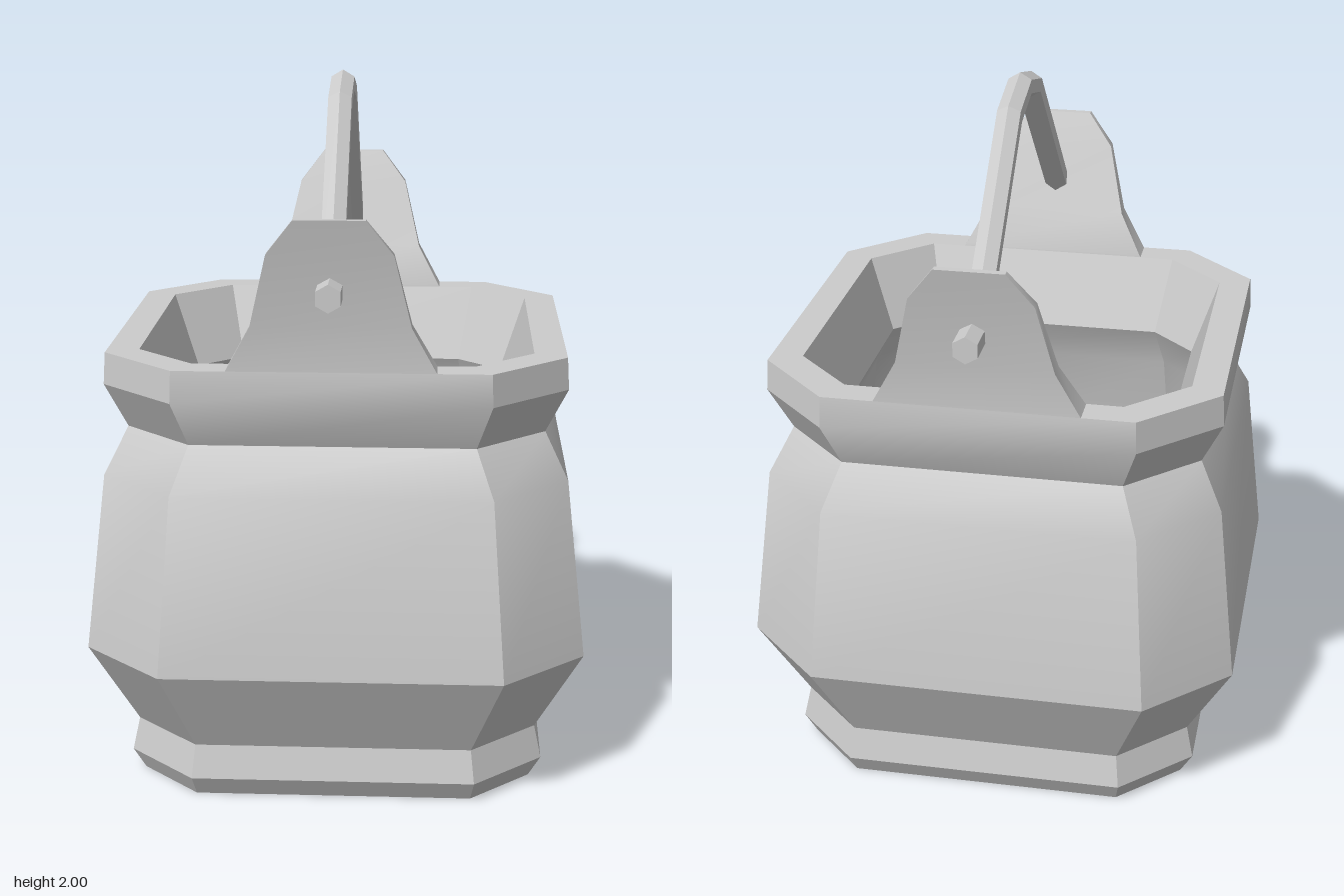
import * as THREE from 'three';
import { toCreasedNormals } from 'three/addons/utils/BufferGeometryUtils.js';

const material = new THREE.MeshStandardMaterial({ color: 0xcccccc });

// Closed skin through a series of equal-sized rings, capped at both ends.
function loft(rings, name, crease = 0.56) {
  const n = rings[0].length, index = [];
  for (let i = 0; i < rings.length - 1; i++) {
    for (let j = 0; j < n; j++) {
      const a = i * n + j, b = i * n + (j + 1) % n;
      index.push(a, b, b + n, a, b + n, a + n);
    }
  }
  const last = (rings.length - 1) * n;
  for (let j = 1; j < n - 1; j++) {
    index.push(0, j + 1, j, last, last + j, last + j + 1);
  }
  const geometry = new THREE.BufferGeometry();
  geometry.setAttribute('position', new THREE.Float32BufferAttribute(rings.flat(2), 3));
  geometry.setIndex(index);
  const mesh = new THREE.Mesh(toCreasedNormals(geometry, crease), material);
  mesh.name = name;
  return mesh;
}

// Square ring with chamfered corners: half width r, half flat c.
const chamferedRing = ([y, r, c]) => [
  [r, y, c], [r, y, -c], [c, y, -r], [-c, y, -r],
  [-r, y, -c], [-r, y, c], [-c, y, r], [c, y, r],
];

function makePot() {
  const profile = [
    // outside, foot to rim
    [0, 0.56, 0.39], [0.06, 0.595, 0.4], [0.155, 0.575, 0.39],
    [0.405, 0.705, 0.475], [0.91, 0.65, 0.44], [1.04, 0.585, 0.392],
    [1.17, 0.645, 0.433], [1.26, 0.64, 0.43],
    // inside, rim to floor
    [1.26, 0.55, 0.385], [1.04, 0.475, 0.345], [0.91, 0.54, 0.37],
    [0.405, 0.6, 0.405], [0.14, 0.45, 0.32],
  ];
  return loft(profile.map(chamferedRing), 'potBody');
}

// Upright ear that tapers and leans outward: height, half width, inner z, outer z.
function makeEar(name) {
  const levels = [
    [1.25, 0.29, 0.552, 0.64], [1.265, 0.28, 0.553, 0.64], [1.385, 0.215, 0.595, 0.65],
    [1.585, 0.168, 0.655, 0.688], [1.68, 0.095, 0.688, 0.71],
  ];
  return loft(levels.map(([y, w, zIn, zOut]) =>
    [[w, y, zOut], [w, y, zIn], [-w, y, zIn], [-w, y, zOut]]), name);
}

// Bent hexagonal bar with mitred corners and straight pins through the ears.
function makeHandle() {
  const half = [[0.765, 1.485], [0.62, 1.485], [0.155, 1.922]];
  const path = [...half, [0, 1.962], ...half.map(([z, y]) => [-z, y]).reverse()]
    .map(([z, y]) => new THREE.Vector2(z, y));
  const normals = path.slice(1).map((p, i) => {
    const t = p.clone().sub(path[i]).normalize();
    return new THREE.Vector2(t.y, -t.x);
  });
  const radius = 0.038;
  const rings = path.map((p, i) => {
    const before = normals[Math.max(i - 1, 0)];
    const after = normals[Math.min(i, normals.length - 1)];
    const miter = before.clone().add(after).normalize();
    miter.divideScalar(miter.dot(after));
    return Array.from({ length: 6 }, (_, j) => {
      const a = j * Math.PI / 3, up = radius * Math.cos(a);
      return [radius * Math.sin(a), p.y + miter.y * up, p.x + miter.x * up];
    });
  });
  return loft(rings, 'handle', 0.3);
}

export function createModel() {
  const group = new THREE.Group();
  group.name = 'pot';
  const backEar = makeEar('backEar');
  backEar.rotation.y = Math.PI;
  group.add(makePot(), makeEar('frontEar'), backEar, makeHandle());
  return group;
}
